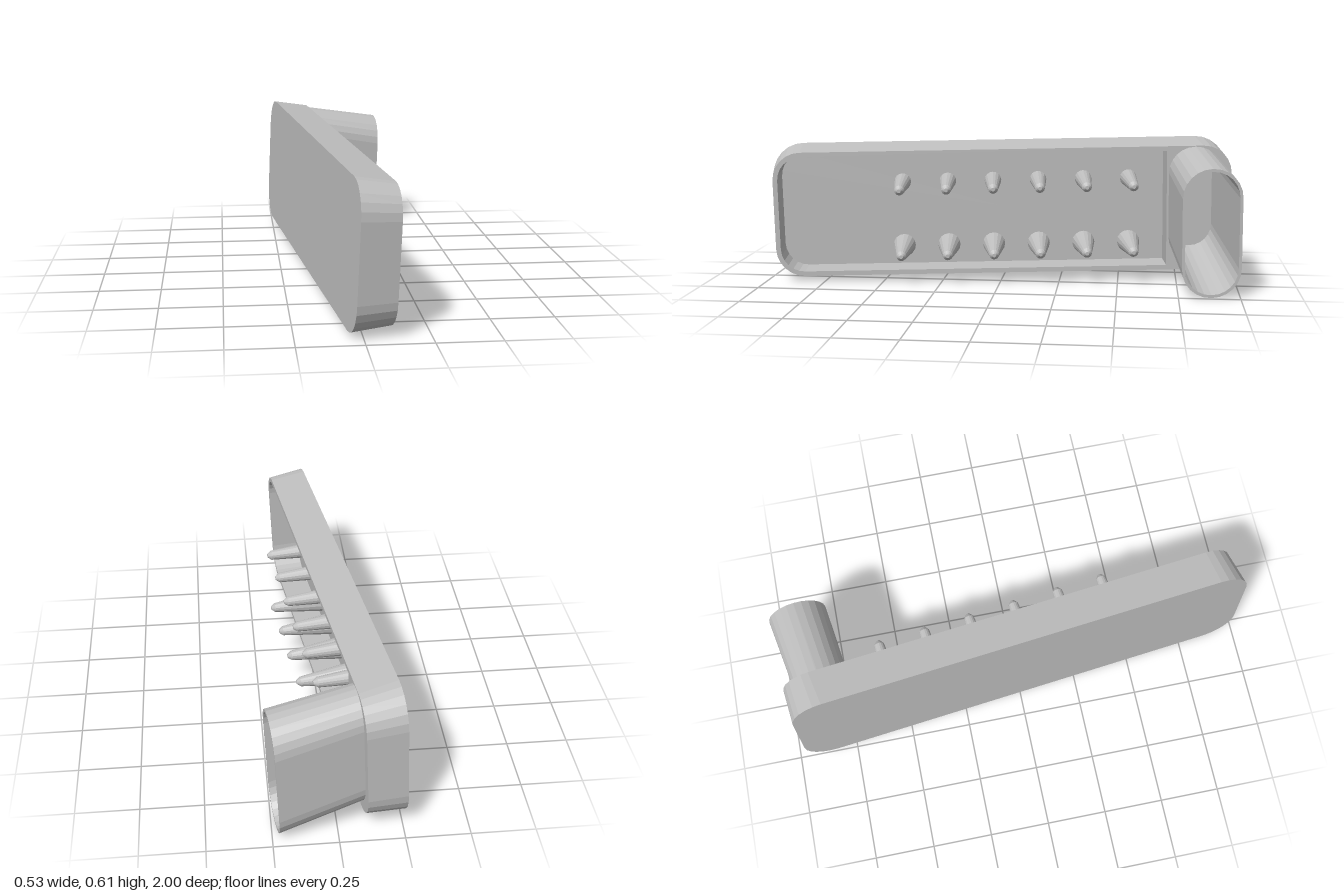
import * as THREE from 'three';

const grey = new THREE.MeshStandardMaterial({ color: 0xbfbfbf });
grey.name = 'plain grey';

// Rounded rectangle at depth d, counter-clockwise seen from the open side (+x)
function ring(d, y0, y1, z0, z1, r, n = 6) {
  const pts = [];
  const corners = [[y1 - r, z1 - r], [y0 + r, z1 - r], [y0 + r, z0 + r], [y1 - r, z0 + r]];
  corners.forEach(([y, z], k) => {
    for (let i = 0; i <= n; i++) {
      const a = (k + i / n) * Math.PI / 2;
      pts.push(new THREE.Vector3(d, y + r * Math.cos(a), z + r * Math.sin(a)));
    }
  });
  return pts;
}

const centred = (d, y, z, h, w, r) => ring(d, y - h / 2, y + h / 2, z - w / 2, z + w / 2, r);

// Faceted skin through a list of rings, with optional flat end caps
function loft(rings, capStart, capEnd) {
  const pos = [];
  const tri = (...v) => v.forEach(p => pos.push(p.x, p.y, p.z));
  const n = rings[0].length;
  for (let k = 0; k < rings.length - 1; k++) {
    const a = rings[k], b = rings[k + 1];
    for (let i = 0; i < n; i++) {
      const j = (i + 1) % n;
      tri(a[i], a[j], b[j]);
      tri(a[i], b[j], b[i]);
    }
  }
  const cap = (r, flip) => {
    const c = r.reduce((s, p) => s.add(p), new THREE.Vector3()).divideScalar(n);
    for (let i = 0; i < n; i++) {
      const j = (i + 1) % n;
      flip ? tri(c, r[j], r[i]) : tri(c, r[i], r[j]);
    }
  };
  if (capStart) cap(rings[0], true);
  if (capEnd) cap(rings[rings.length - 1], false);
  const g = new THREE.BufferGeometry();
  g.setAttribute('position', new THREE.Float32BufferAttribute(pos, 3));
  g.computeVertexNormals();
  return g;
}

export function createModel() {
  const model = new THREE.Group();
  model.name = 'pegTray';

  // Tilted body frame: x = depth, y = height, z = length
  const body = new THREE.Group();
  body.name = 'tiltedBody';
  const L = new THREE.Vector3(0.117, -0.017, 0.993).normalize();
  const H = new THREE.Vector3(0.04, 1, 0.0125).normalize();
  const D = new THREE.Vector3().crossVectors(H, L).normalize();
  H.crossVectors(L, D);
  body.quaternion.setFromRotationMatrix(new THREE.Matrix4().makeBasis(D, H, L));
  body.position.set(-0.14, 0.315, 0.019);
  model.add(body);

  const add = (name, geometry) => {
    const mesh = new THREE.Mesh(geometry, grey);
    mesh.name = name;
    body.add(mesh);
    return mesh;
  };

  const rim = 0.155, floor = 0.03;

  // Shallow tray with drafted walls
  add('tray', loft([
    ring(0, -0.288, 0.288, -0.984, 0.984, 0.135),
    ring(rim, -0.268, 0.268, -0.984, 0.964, 0.12),
    ring(rim, -0.248, 0.248, -0.964, 0.944, 0.1),
    ring(floor, -0.248, 0.248, -0.964, 0.944, 0.1),
  ], true, true));

  // Solid end block, flush with the rim, with an opening for the spout
  const flat = pts => pts.map(p => new THREE.Vector2(p.y, p.z));
  const far = ring(0, -0.248, 0.248, -0.964, 0.944, 0.1).slice(14);
  const shape = new THREE.Shape([
    new THREE.Vector2(0.248, -0.709), new THREE.Vector2(-0.248, -0.709), ...flat(far),
  ]);
  shape.holes.push(new THREE.Path(flat(centred(0, 0.017, -0.83, 0.482, 0.212, 0.104))));
  const block = new THREE.ExtrudeGeometry(shape, { depth: rim - floor, bevelEnabled: false });
  block.applyMatrix4(new THREE.Matrix4().makeBasis(
    new THREE.Vector3(0, 1, 0), new THREE.Vector3(0, 0, 1), new THREE.Vector3(1, 0, 0)));
  block.translate(floor, 0, 0);
  add('endBlock', block);

  // Hollow, slightly flared and drooping spout
  add('spout', loft([
    centred(0.15, 0.017, -0.83, 0.495, 0.225, 0.11),
    centred(0.488, -0.041, -0.847, 0.53, 0.242, 0.12),
    centred(0.488, -0.041, -0.847, 0.506, 0.218, 0.108),
    centred(floor + 0.004, 0.038, -0.824, 0.458, 0.195, 0.095),
  ], false, true));

  // Two rows of tapered pegs, the lower row thicker
  for (const [row, y, r] of [['upperPeg', 0.115, 0.037], ['lowerPeg', -0.167, 0.05]]) {
    const profile = [[r, 0.02], [0.021, 0.245], [0.008, 0.262], [0, 0.262]]
      .map(p => new THREE.Vector2(...p));
    const peg = new THREE.LatheGeometry(profile, 16).rotateZ(-Math.PI / 2).toNonIndexed();
    peg.computeVertexNormals();
    for (let i = 0; i < 6; i++) {
      add(row + (i + 1), peg).position.set(0, y, 0.422 - i * 0.196);
    }
  }
  return model;
}
